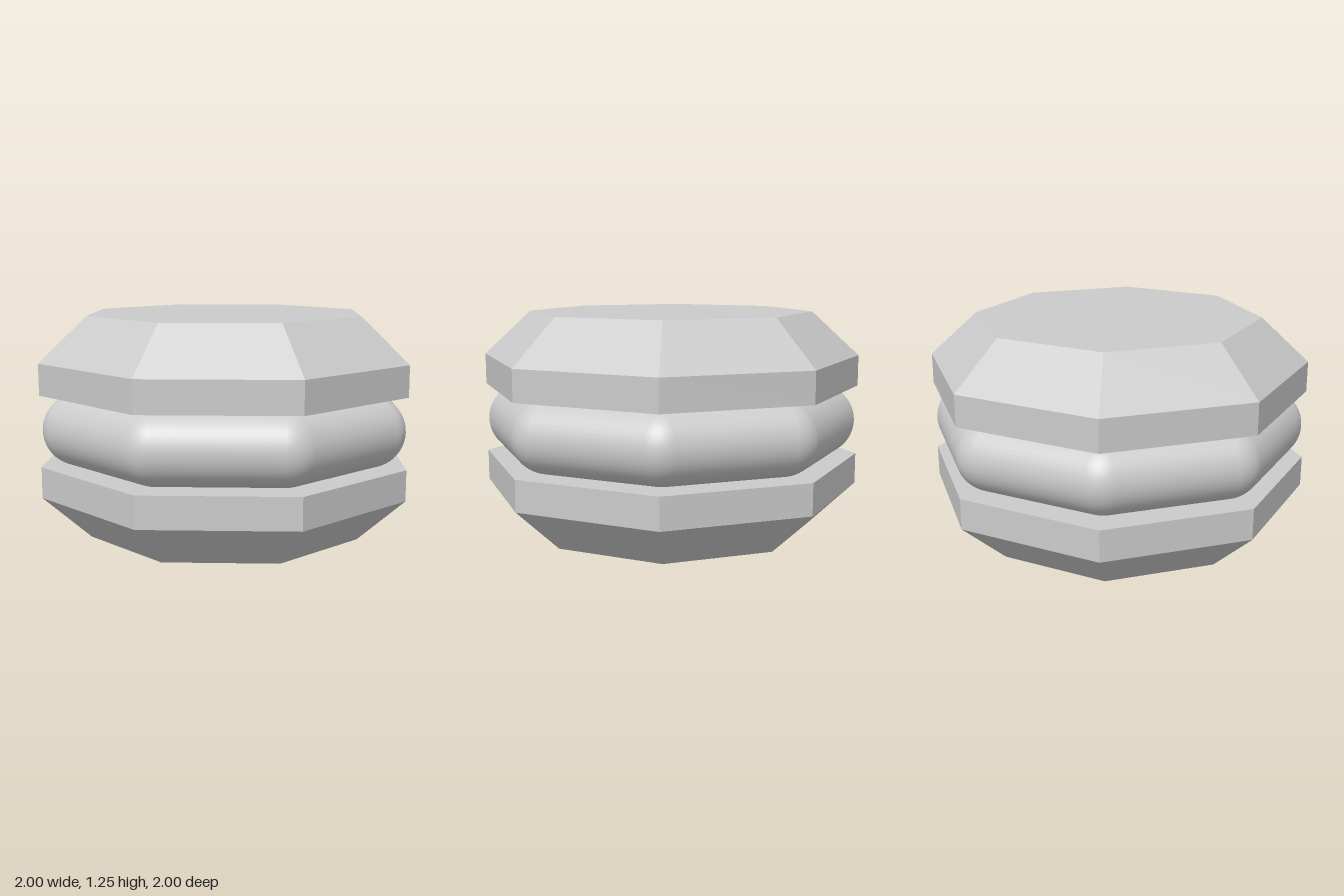
import * as THREE from 'three';

const SIDES = 8;
const STEP = (Math.PI * 2) / SIDES;
const toCorner = (apothem) => apothem / Math.cos(STEP / 2);
const MID = 0.625; // height of the middle plane
const ROUND = 0.2; // radius of the rounded rim

// Octagonal ring of plates turned from an [apothem, y] profile, listed bottom to top
function octagonPlate(name, profile, material) {
  const points = profile.map(([a, y]) => new THREE.Vector2(toCorner(a), y));
  const mesh = new THREE.Mesh(new THREE.LatheGeometry(points, SIDES, STEP / 2), material);
  mesh.name = name;
  return mesh;
}

// Octagon swept with a half-round rim; each corner is a slice of a sphere
function roundedBand(apothem, arcSteps = 8, rimSteps = 24) {
  const pos = [], nor = [], index = [];
  const rows = rimSteps + 1;
  const columns = SIDES * (arcSteps + 1);
  for (let k = 0; k < SIDES; k++) {
    const c = (k + 0.5) * STEP;
    const cx = toCorner(apothem) * Math.sin(c);
    const cz = toCorner(apothem) * Math.cos(c);
    for (let i = 0; i <= arcSteps; i++) {
      const t = (k + i / arcSteps) * STEP;
      for (let j = 0; j < rows; j++) {
        const phi = (j / rimSteps - 0.5) * Math.PI;
        const nx = Math.cos(phi) * Math.sin(t);
        const ny = Math.sin(phi);
        const nz = Math.cos(phi) * Math.cos(t);
        pos.push(cx + ROUND * nx, ROUND * ny, cz + ROUND * nz);
        nor.push(nx, ny, nz);
      }
    }
  }
  for (let i = 0; i < columns; i++) {
    const next = (i + 1) % columns;
    for (let j = 0; j < rimSteps; j++) {
      const a = i * rows + j, b = next * rows + j;
      index.push(a, b, b + 1, a, b + 1, a + 1);
    }
  }
  const geometry = new THREE.BufferGeometry();
  geometry.setAttribute('position', new THREE.Float32BufferAttribute(pos, 3));
  geometry.setAttribute('normal', new THREE.Float32BufferAttribute(nor, 3));
  geometry.setIndex(index);
  return geometry;
}

export function createModel() {
  const group = new THREE.Group();
  group.name = 'octagonalStack';
  const flat = new THREE.MeshStandardMaterial({ color: 0xcccccc, flatShading: true });
  const smooth = new THREE.MeshStandardMaterial({ color: 0xcccccc });

  // Bevelled plates, mirrored about the middle plane
  const lower = [[0, 0], [0.75, 0], [1, 0.25], [1, MID - ROUND], [0, MID - ROUND]];
  const upper = lower.map(([a, y]) => [a, 2 * MID - y]).reverse();
  group.add(octagonPlate('lowerPlate', lower, flat));
  group.add(octagonPlate('upperPlate', upper, flat));

  // Rounded band between the plates, with a solid core
  const band = new THREE.Mesh(roundedBand(1 - ROUND), smooth);
  band.name = 'roundedBand';
  band.position.y = MID;
  group.add(band);

  const core = [[0, MID - ROUND], [0.8, MID - ROUND], [0.8, MID + ROUND], [0, MID + ROUND]];
  group.add(octagonPlate('bandCore', core, flat));

  return group;
}
